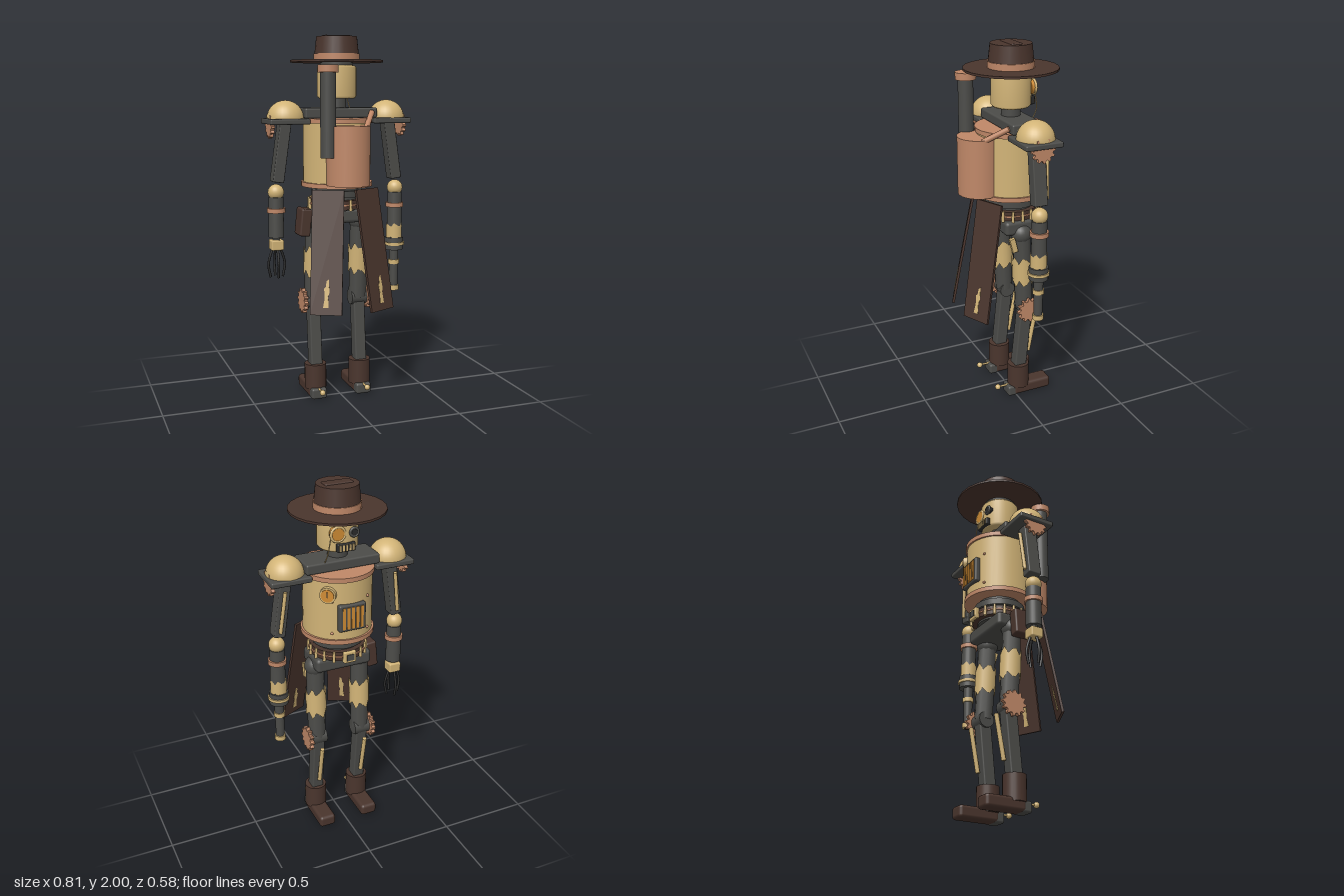
import * as THREE from 'three';
import { RoundedBoxGeometry } from 'three/addons/geometries/RoundedBoxGeometry.js';

const mat = (name, color, side = THREE.FrontSide) => {
  const m = new THREE.MeshStandardMaterial({ color, side });
  m.name = name;
  return m;
};

export function createModel() {
  const leather = mat('brown leather', 0x4a352d);
  const iron = mat('dark iron', 0x4c4c49);
  const brass = mat('brass', 0xd2b477, THREE.DoubleSide);
  const copper = mat('copper', 0xc08868);
  const amber = mat('amber', 0xcf8c35);
  const black = mat('black steel', 0x2a2a2a);

  const model = new THREE.Group();
  model.name = 'gunslingerRobot';
  const body = new THREE.Group();
  body.name = 'body';
  body.position.set(-0.005, 0, -0.04);
  model.add(body);

  // Helpers
  const add = (name, geo, m, x = 0, y = 0, z = 0, parent = body) => {
    const mesh = new THREE.Mesh(geo, m);
    mesh.name = name;
    mesh.position.set(x, y, z);
    parent.add(mesh);
    return mesh;
  };
  const box = (w, h, d) => new THREE.BoxGeometry(w, h, d);
  const round = (w, h, d, r = 0.01) => new RoundedBoxGeometry(w, h, d, 2, r);
  const ball = (r) => new THREE.SphereGeometry(r, 24, 16);
  // Upright cylinder between two heights
  const post = (name, m, y0, y1, rBottom, rTop = rBottom, x = 0, z = 0, sides = 24) =>
    add(name, new THREE.CylinderGeometry(rTop, rBottom, y1 - y0, sides), m, x, (y0 + y1) / 2, z);
  // Bar from one point to another; make(length) gives a geometry along y
  const span = (name, m, a, b, make) => {
    const p = new THREE.Vector3(...a), q = new THREE.Vector3(...b);
    const d = q.clone().sub(p), mid = p.add(q).multiplyScalar(0.5);
    const mesh = add(name, make(d.length()), m, mid.x, mid.y, mid.z);
    mesh.quaternion.setFromUnitVectors(new THREE.Vector3(0, 1, 0), d.normalize());
    return mesh;
  };
  const rod = (r, sides = 12) => (l) => new THREE.CylinderGeometry(r, r, l, sides);
  const gear = (name, r, depth, x, y, z) => {
    const s = new THREE.Shape(), teeth = 12;
    for (let i = 0; i < teeth * 4; i++) {
      const a = (i / (teeth * 4)) * Math.PI * 2, k = i % 4 < 2 ? r : r * 0.8;
      s[i ? 'lineTo' : 'moveTo'](Math.cos(a) * k, Math.sin(a) * k);
    }
    const g = new THREE.ExtrudeGeometry(s, { depth, bevelEnabled: false });
    g.translate(0, 0, -depth / 2).rotateY(Math.PI / 2);
    return add(name, g, copper, x, y, z);
  };
  // Worn sleeve with ragged edges
  const sleeve = (r, h) => {
    const g = new THREE.CylinderGeometry(r, r, h, 16, 1, true), p = g.attributes.position;
    for (let i = 0; i < p.count; i++) {
      const k = (i % 17) % 16;
      p.setY(i, p.getY(i) - Math.sign(p.getY(i)) * h * (0.12 + 0.12 * Math.sin(k * 2.4)));
    }
    return g;
  };

  // Hat
  post('hatBrim', leather, 1.856, 1.868, 0.252);
  post('hatBand', copper, 1.868, 1.902, 0.124);
  post('hatCrown', leather, 1.9, 1.993, 0.12, 0.11);
  add('hatCrease', round(0.155, 0.02, 0.06, 0.008), leather, 0, 1.99, 0);

  // Head and neck
  const headProfile = [[0, 0], [0.098, 0], [0.107, 0.012], [0.107, 0.163], [0.098, 0.175], [0, 0.175]];
  add('head', new THREE.LatheGeometry(headProfile.map((p) => new THREE.Vector2(...p)), 32), brass, 0, 1.665, 0);
  post('headPin', iron, 1.83, 1.86, 0.09);
  post('neck', iron, 1.58, 1.67, 0.052);
  for (const [name, x, r, m] of [['monocle', 0.045, 0.038, amber], ['eye', -0.045, 0.022, black]]) {
    const z = -Math.sqrt(0.107 ** 2 - x * x);
    add(name + 'Lens', new THREE.CylinderGeometry(r, r, 0.03, 24).rotateX(Math.PI / 2), m, x, 1.765, z);
    add(name + 'Rim', new THREE.TorusGeometry(r, 0.007, 8, 24), name === 'eye' ? iron : brass, x, 1.765, z - 0.01);
  }
  const chain = new THREE.CatmullRomCurve3([[0.08, 1.75, -0.1], [0.098, 1.66, -0.1], [0.105, 1.6, -0.07]].map((p) => new THREE.Vector3(...p)));
  add('monocleChain', new THREE.TubeGeometry(chain, 12, 0.003, 6), brass);
  add('mouth', round(0.1, 0.045, 0.03, 0.006), black, 0, 1.692, -0.102);
  for (let i = -2; i <= 2; i++) add('tooth', box(0.009, 0.032, 0.006), brass, i * 0.018, 1.692, -0.118);

  // Torso
  post('torso', brass, 1.2, 1.55, 0.185, 0.185, 0, 0, 40);
  post('lowerHoop', copper, 1.19, 1.215, 0.196, 0.196, 0, 0, 40);
  post('upperHoop', copper, 1.535, 1.56, 0.194, 0.194, 0, 0, 40);
  add('grilleFrame', round(0.15, 0.15, 0.04), iron, 0, 1.34, -0.178);
  for (let i = -2; i <= 2; i++) add('grilleBar', box(0.016, 0.12, 0.008), amber, i * 0.025, 1.34, -0.198);
  for (const x of [-0.1, 0.1]) for (const y of [1.25, 1.43])
    add('rivet', ball(0.008), copper, x, y, -0.157);
  const gauge = new THREE.Group();
  gauge.name = 'gauge';
  gauge.position.set(0.115, 1.47, -0.145);
  gauge.rotation.y = Math.PI - 0.65;
  body.add(gauge);
  add('gaugeCase', new THREE.CylinderGeometry(0.043, 0.043, 0.04, 24).rotateX(Math.PI / 2), brass, 0, 0, 0, gauge);
  add('gaugeFace', new THREE.CylinderGeometry(0.034, 0.034, 0.006, 24).rotateX(Math.PI / 2), amber, 0, 0, 0.021, gauge);
  add('gaugeNeedle', box(0.005, 0.03, 0.004), black, 0, 0.006, 0.025, gauge);

  // Boiler and chimney
  post('boiler', copper, 1.21, 1.525, 0.117, 0.117, 0, 0.184);
  post('chimney', iron, 1.36, 1.81, 0.041, 0.041, -0.12, 0.206);
  post('chimneyCap', copper, 1.8, 1.838, 0.055, 0.055, -0.12, 0.206);
  span('steamPipe', copper, [0.09, 1.51, 0.21], [0.17, 1.59, 0.09], rod(0.015));

  // Waist, belt and hips
  post('waist', iron, 1.06, 1.2, 0.12);
  post('waistCollar', iron, 1.135, 1.17, 0.14);
  post('belt', leather, 1.07, 1.12, 0.15);
  post('beltTrim', copper, 1.092, 1.1, 0.157);
  for (let i = 0; i < 18; i++) {
    const a = (i / 18) * Math.PI * 2 + 0.17;
    post('cartridge', brass, 1.065, 1.125, 0.009, 0.007, Math.sin(a) * 0.155, Math.cos(a) * 0.155, 8);
  }
  add('buckle', round(0.07, 0.065, 0.02, 0.006), brass, 0, 1.095, -0.162);
  add('buckleCenter', box(0.04, 0.035, 0.006), iron, 0, 1.095, -0.173);
  add('pelvis', round(0.32, 0.08, 0.2, 0.02), iron, 0, 1.03, 0);
  add('holster', round(0.06, 0.15, 0.11, 0.01), leather, -0.2, 1.0, 0.02).rotation.z = -0.1;
  add('holsterStud', box(0.02, 0.08, 0.03), brass, 0.165, 0.94, 0.06).rotation.x = 0.25;

  // Shoulder beam
  add('shoulderBeam', round(0.41, 0.055, 0.17, 0.01), iron, 0, 1.588, 0);

  for (const s of [-1, 1]) {
    // Shoulder
    add('shoulderPlate', round(0.22, 0.03, 0.208, 0.008), iron, s * 0.29, 1.545, 0);
    add('shoulderDome', new THREE.SphereGeometry(0.1, 28, 12, 0, Math.PI * 2, 0, Math.PI / 2), brass, s * 0.291, 1.556, 0);
    gear('shoulderGear', 0.065, 0.02, s * 0.376, 1.52, 0);

    // Arm
    span('upperArm', iron, [s * 0.297, 1.54, 0], [s * 0.342, 1.22, 0], (l) => round(0.062, l, 0.075, 0.006));
    span('armPiston', brass, [s * 0.312, 1.48, -0.057], [s * 0.34, 1.25, -0.045], rod(0.01));
    add('elbow', ball(0.044), brass, s * 0.348, 1.165, 0);
    post('forearm', iron, 0.92, 1.14, 0.042, 0.04, s * 0.348);
    post('forearmRing', copper, 1.055, 1.08, 0.05, 0.05, s * 0.348);

    // Leg
    const x = s * 0.132;
    add('hipJoint', ball(0.058), iron, x, 0.99, 0);
    span('thigh', iron, [x, 1.0, 0], [x, 0.55, -0.02], rod(0.05, 10));
    span('thighPlate', brass, [x, 0.87, -0.006], [x, 0.68, -0.014], (l) => sleeve(0.057, l));
    add('knee', new THREE.CylinderGeometry(0.045, 0.045, 0.09, 16).rotateZ(Math.PI / 2), iron, x, 0.545, -0.024);
    add('kneeAxle', new THREE.CylinderGeometry(0.018, 0.018, 0.05, 12).rotateZ(Math.PI / 2), iron, s * 0.175, 0.545, -0.026);
    gear('kneeGear', 0.07, 0.022, s * 0.19, 0.545, -0.027);
    span('shin', iron, [x, 0.55, -0.026], [x, 0.16, 0.012], (l) => round(0.066, l, 0.07, 0.008));
    span('shinPiston', brass, [x, 0.495, -0.095], [x, 0.255, -0.05], rod(0.012));

    // Boot
    post('bootShaft', leather, 0.05, 0.19, 0.061, 0.061, x, 0.012);
    add('bootFoot', round(0.095, 0.068, 0.23, 0.018), leather, x, 0.036, -0.06);
    add('bootHeel', round(0.088, 0.06, 0.06, 0.012), iron, x, 0.03, 0.06);
    span('spur', brass, [x, 0.055, 0.07], [x, 0.055, 0.14], rod(0.006));
    add('spurBall', ball(0.016), brass, x, 0.055, 0.14);

    // Coat tail, hung from the waist and swung outward
    const tail = new THREE.Group();
    tail.name = 'coatTail';
    tail.position.set(s * 0.108, 1.185, 0.172);
    tail.rotation.set(-0.185, s * 0.44, 0, 'YXZ');
    body.add(tail);
    add('tailPanel', box(0.17, 0.66, 0.014), leather, 0, -0.33, 0, tail);
    const tear = [[-0.016, -0.08], [0.013, -0.08], [0.01, -0.02], [0.017, 0], [0.012, 0.07], [0, 0.06], [-0.003, 0.03], [-0.012, 0.02], [-0.008, -0.03]];
    const patch = new THREE.ExtrudeGeometry(new THREE.Shape(tear.map((p) => new THREE.Vector2(...p))), { depth: 0.018, bevelEnabled: false });
    add('tailPatch', patch, brass, 0, -0.54, -0.009, tail);
  }

  // Claw hand
  const cx = -0.348;
  post('wrist', iron, 0.89, 0.93, 0.02, 0.02, cx);
  add('palm', round(0.07, 0.056, 0.07, 0.008), brass, cx, 0.878, 0);
  for (let i = 0; i < 4; i++) {
    const a = (i / 4) * Math.PI * 2, dx = Math.cos(a), dz = Math.sin(a);
    const path = new THREE.CatmullRomCurve3([[0.02, 0.86], [0.035, 0.82], [0.046, 0.77], [0.034, 0.7]]
      .map(([r, y]) => new THREE.Vector3(cx + dx * r, y, dz * r)));
    add('finger', new THREE.TubeGeometry(path, 10, 0.007, 8), black);
  }

  // Gun arm
  const gx = 0.346;
  add('gunCuff', sleeve(0.045, 0.1), brass, gx, 0.915, 0);
  post('gunNeck', iron, 0.86, 0.93, 0.04, 0.042, gx);
  post('gunDrum', iron, 0.81, 0.88, 0.052, 0.052, gx);
  post('gunDrumRing', brass, 0.837, 0.853, 0.059, 0.059, gx);
  post('gunBarrel', iron, 0.58, 0.82, 0.023, 0.027, gx);
  post('barrelBand', brass, 0.725, 0.75, 0.031, 0.031, gx);
  post('muzzle', brass, 0.572, 0.6, 0.03, 0.03, gx);
  post('bore', black, 0.569, 0.575, 0.018, 0.018, gx);

  return model;
}
